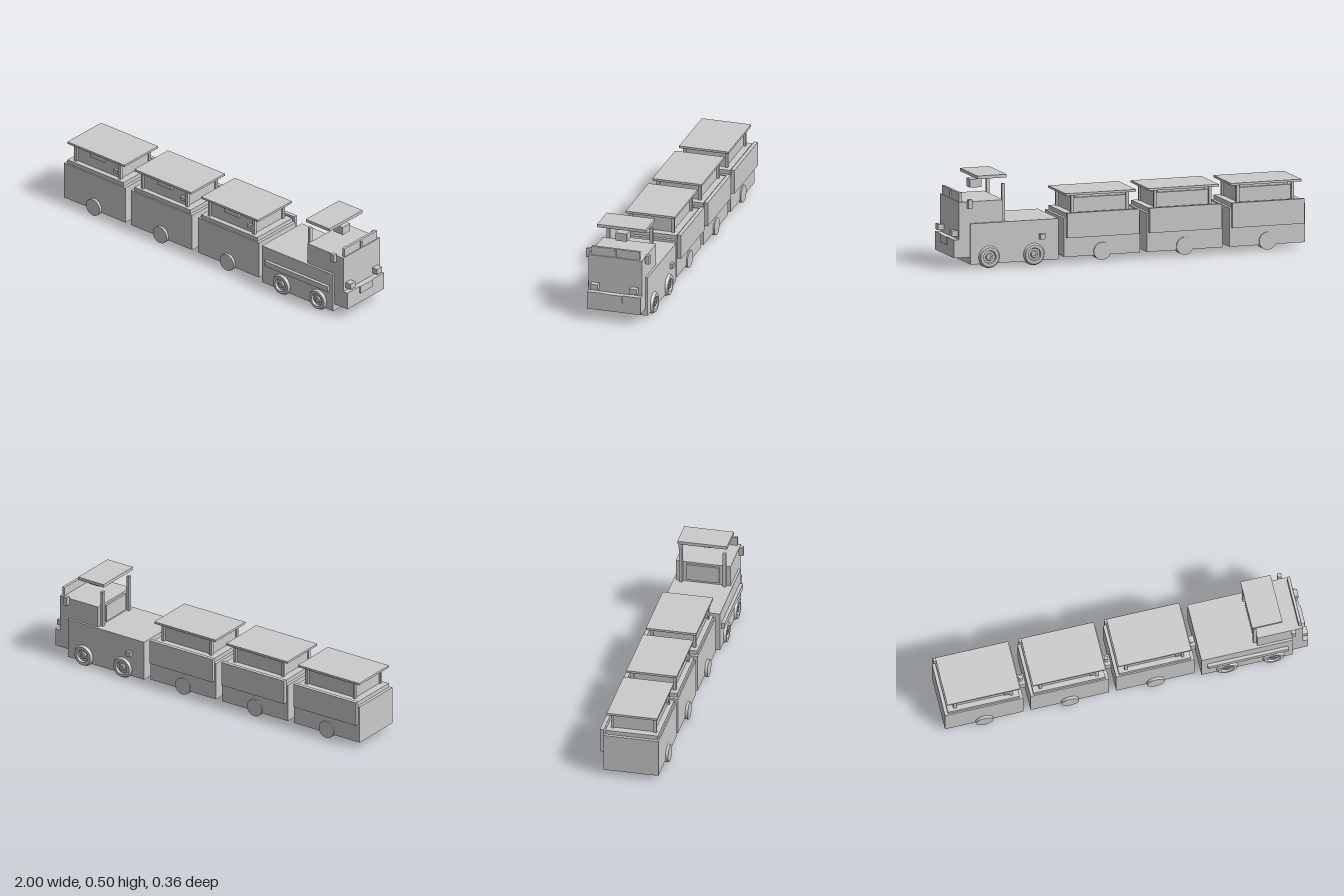
import * as THREE from 'three';

const material = new THREE.MeshStandardMaterial({ color: 0xcccccc, flatShading: true });

function add(parent, name, geometry) {
  const mesh = new THREE.Mesh(geometry, material);
  mesh.name = name;
  parent.add(mesh);
  return mesh;
}

// Box given by its minimum and maximum along each axis
function box(parent, name, x0, x1, y0, y1, z0, z1) {
  const mesh = add(parent, name, new THREE.BoxGeometry(x1 - x0, y1 - y0, z1 - z0));
  mesh.position.set((x0 + x1) / 2, (y0 + y1) / 2, (z0 + z1) / 2);
  return mesh;
}

// The same box on both sides of the centre line
function pair(parent, name, x0, x1, y0, y1, z0, z1) {
  box(parent, name + 'Front', x0, x1, y0, y1, z0, z1);
  box(parent, name + 'Back', x0, x1, y0, y1, -z1, -z0);
}

// Bevelled tyre with a dished rim and a hub, lathed about the axle
function engineWheel(parent, x, side) {
  const profile = [
    [0, 0], [0.05, 0], [0.06, 0.012], [0.06, 0.042], [0.052, 0.057],
    [0.036, 0.057], [0.032, 0.046], [0.021, 0.046], [0.018, 0.054],
    [0.009, 0.054], [0.008, 0.05], [0, 0.05],
  ].map(([r, h]) => new THREE.Vector2(r, h));
  const wheel = add(parent, 'engineWheel', new THREE.LatheGeometry(profile, 28));
  wheel.rotation.x = side * Math.PI / 2;
  wheel.position.set(x, 0.063, side * 0.12);
}

function createWagon() {
  const wagon = new THREE.Group();
  wagon.name = 'wagon';
  box(wagon, 'body', -0.215, 0.215, 0.035, 0.245, -0.155, 0.147);
  box(wagon, 'sill', -0.197, 0.197, 0.245, 0.268, -0.148, 0.14);
  box(wagon, 'backPanel', -0.205, 0.205, 0.14, 0.275, -0.176, -0.155);

  // Recessed cabin under a flat roof on corner posts
  box(wagon, 'cabin', -0.155, 0.155, 0.268, 0.346, -0.112, 0.112);
  box(wagon, 'cabinLid', -0.135, 0.135, 0.346, 0.363, -0.1, 0.1);
  for (const sx of [-1, 1]) {
    for (const sz of [-1, 1]) {
      const post = add(wagon, 'post', new THREE.BoxGeometry(0.016, 0.097, 0.016));
      post.position.set(sx * 0.156, 0.3155, sz * 0.117);
    }
  }
  box(wagon, 'roof', -0.2, 0.2, 0.363, 0.375, -0.14, 0.137);
  box(wagon, 'signBoard', -0.05, 0.05, 0.332, 0.363, 0.112, 0.126);
  box(wagon, 'sideLamp', 0.115, 0.147, 0.295, 0.317, 0.112, 0.126);

  // Wheels showing on both sides
  for (const side of [-1, 1]) {
    const wheel = add(wagon, 'wagonWheel', new THREE.CylinderGeometry(0.048, 0.048, 0.06, 28));
    wheel.rotation.x = Math.PI / 2;
    wheel.position.set(0, 0.056, side * 0.132);
  }
  return wagon;
}

function createEngine() {
  const engine = new THREE.Group();
  engine.name = 'engine';
  box(engine, 'chassis', 0.405, 0.905, 0.027, 0.248, -0.163, 0.163);
  box(engine, 'cab', 0.715, 0.965, 0.163, 0.366, -0.15, 0.15);
  box(engine, 'bumper', 0.905, 0.994, 0.065, 0.163, -0.15, 0.15);
  box(engine, 'numberPlate', 0.994, 1.0, 0.122, 0.163, -0.05, 0.05);
  pair(engine, 'headlight', 0.965, 0.998, 0.178, 0.21, 0.089, 0.13);

  // Windscreen and wiper
  box(engine, 'windscreen', 0.945, 0.96, 0.366, 0.414, -0.135, 0.135);
  box(engine, 'wiper', 0.96, 0.966, 0.366, 0.406, -0.005, 0.005);
  pair(engine, 'mirror', 0.9, 0.922, 0.332, 0.381, 0.155, 0.177);
  pair(engine, 'mirrorBracket', 0.906, 0.916, 0.345, 0.36, 0.148, 0.156);

  // Rear of the cab, canopy and seat head
  pair(engine, 'canopyPost', 0.698, 0.714, 0.248, 0.45, 0.111, 0.129);
  box(engine, 'cabBackPanel', 0.704, 0.716, 0.262, 0.355, -0.09, 0.09);
  box(engine, 'canopy', 0.69, 0.856, 0.483, 0.5, -0.136, 0.136);
  box(engine, 'headrest', 0.795, 0.859, 0.42, 0.465, -0.031, 0.031);

  // Side fittings
  box(engine, 'sideStrip', 0.437, 0.88, 0.143, 0.174, 0.163, 0.181);
  box(engine, 'sideStep', 0.485, 0.515, 0.143, 0.172, -0.18, -0.163);

  for (const x of [0.545, 0.8]) {
    for (const side of [-1, 1]) engineWheel(engine, x, side);
  }
  return engine;
}

export function createModel() {
  const model = new THREE.Group();
  model.name = 'roadTrain';
  model.add(createEngine());

  for (const x of [-0.785, -0.315, 0.155]) {
    const wagon = createWagon();
    wagon.position.x = x;
    model.add(wagon);

    // Coupling to the vehicle ahead
    box(model, 'coupling', x + 0.21, x + 0.262, 0.078, 0.13, -0.03, 0.03);
    const pin = add(model, 'couplingPin', new THREE.CylinderGeometry(0.011, 0.011, x < 0 ? 0.045 : 0.01, 12));
    pin.position.set(x + 0.235, x < 0 ? 0.148 : 0.132, 0);
  }
  return model;
}
